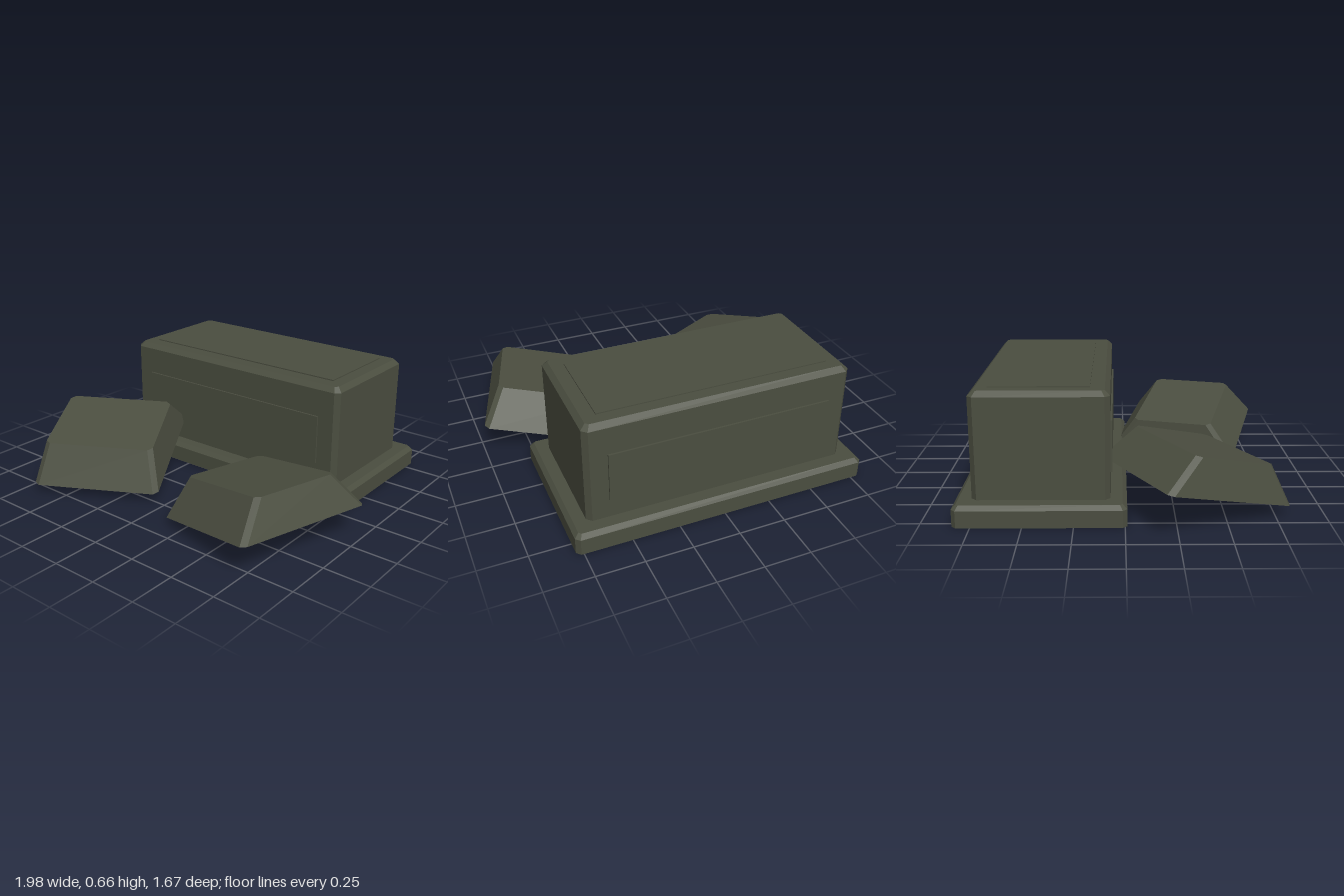
import * as THREE from 'three';

const stone = new THREE.MeshStandardMaterial({ color: 0x4b4e40 });
stone.name = 'darkStone';

// Rectangle with cut corners at height y, counter-clockwise from above
function ring(w, d, c, y) {
  const x = w / 2, z = d / 2;
  return [
    [x - c, z], [x, z - c], [x, c - z], [x - c, -z],
    [c - x, -z], [-x, c - z], [-x, z - c], [c - x, z],
  ].map(([px, pz]) => new THREE.Vector3(px, y, pz));
}

// Flat-faced solid through a stack of rings, capped at both ends
function loft(rings) {
  const points = [];
  const n = rings[0].length;
  for (let r = 0; r < rings.length - 1; r++) {
    const lo = rings[r], hi = rings[r + 1];
    for (let i = 0; i < n; i++) {
      const j = (i + 1) % n;
      points.push(lo[i], lo[j], hi[j], lo[i], hi[j], hi[i]);
    }
  }
  const bottom = rings[0], top = rings[rings.length - 1];
  for (let i = 1; i < n - 1; i++) {
    points.push(top[0], top[i], top[i + 1], bottom[0], bottom[i + 1], bottom[i]);
  }
  const geometry = new THREE.BufferGeometry().setFromPoints(points);
  geometry.computeVertexNormals();
  return geometry;
}

// Block with chamfered upright and top edges
function chamferedBlock(w, h, d, c) {
  return loft([
    ring(w, d, c, 0),
    ring(w, d, c, h - c),
    ring(w - 2 * c, d - 2 * c, c * 0.6, h),
  ]);
}

export function createModel() {
  const model = new THREE.Group();
  model.name = 'brokenPedestal';

  function add(name, geometry, x, y, z) {
    const mesh = new THREE.Mesh(geometry, stone);
    mesh.name = name;
    mesh.position.set(x, y, z);
    model.add(mesh);
    return mesh;
  }

  // Standing pedestal
  add('plinth', chamferedBlock(1.595, 0.11, 0.85, 0.022), -0.012, 0, -0.415);
  add('body', chamferedBlock(1.42, 0.543, 0.682, 0.026), -0.01, 0.11, -0.412);

  // Raised panels on the top, front and back
  add('topPanel', new THREE.BoxGeometry(1.235, 0.009, 0.495), -0.012, 0.6545, -0.417);
  for (const [name, z] of [['frontPanel', -0.0665], ['backPanel', -0.7575]]) {
    add(name, new THREE.BoxGeometry(1.19, 0.266, 0.0099), -0.011, 0.347, z);
  }

  // Fallen tapered cap stones
  const cap = loft([
    ring(0.7, 0.745, 0.026, 0),
    ring(0.604, 0.465, 0.026, 0.187),
  ]);
  const rightCap = add('rightCapStone', cap, -0.523, 0.142, 0.353);
  rightCap.rotation.set(0.251, 0.494, 0, 'YXZ');
  const leftCap = add('leftCapStone', cap, 0.562, 0.106, 0.381);
  leftCap.rotation.set(0, -0.29, 0.206, 'YXZ');

  return model;
}
